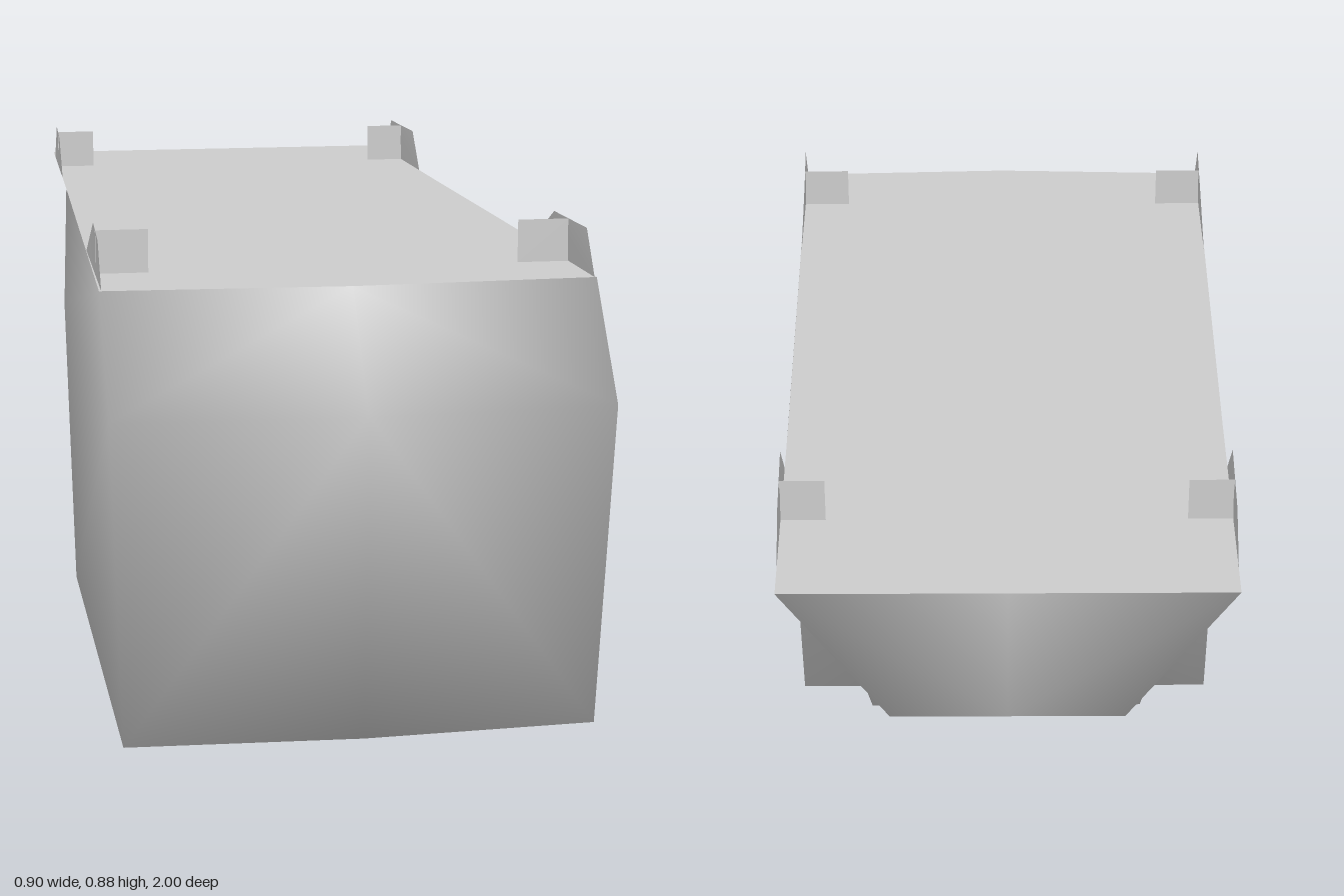
import * as THREE from 'three';

// Corner points of the +x half
const SIDE = [
  [0.45, 0.8, 0.82], [0.415, 0.8, -0.4], [0.4, 0.8, -1],        // 0-2 top rim
  [0.45, 0.6, 0.98], [0.445, 0.6, -0.1],                        // 3-4 widest line
  [0.43, 0, 0.95], [0.43, 0, -0.1], [0.26, 0.29, -0.21],        // 5-10 underside
  [0.26, 0.28, -0.58], [0.3, 0.47, -0.65], [0.21, 0.51, -0.95],
];
// Points on the centre line: front, then along the underside to the back rim
const CENTRE = [
  [0, 0.8, 0.84], [0, 0.6, 1], [0, 0, 0.97],                    // 11-13 front
  [0, 0, -0.1], [0, 0.29, -0.21], [0, 0.28, -0.58],             // 14-19 underside
  [0, 0.47, -0.65], [0, 0.51, -0.95], [0, 0.8, -1],
];
const POINTS = [...SIDE, ...CENTRE, ...SIDE.map(([x, y, z]) => [-x, y, z])];
const mirrorIndex = (i) => (i < 11 ? i + 20 : i);

// Fans each polygon into triangles and mirrors it to the other half
function symmetricGeometry(polygons) {
  const index = [];
  for (const p of polygons) {
    for (let i = 1; i < p.length - 1; i++) {
      const [a, b, c] = [p[0], p[i], p[i + 1]];
      index.push(a, b, c, mirrorIndex(a), mirrorIndex(c), mirrorIndex(b));
    }
  }
  const geometry = new THREE.BufferGeometry();
  geometry.setAttribute('position', new THREE.Float32BufferAttribute(POINTS.flat(), 3));
  geometry.setIndex(index);
  geometry.computeVertexNormals();
  return geometry;
}

// Flat plate from a planar outline
function plateGeometry(corners) {
  const geometry = new THREE.BufferGeometry();
  geometry.setAttribute('position', new THREE.Float32BufferAttribute(corners.flat(), 3));
  geometry.setIndex([0, 1, 2, 0, 2, 3]);
  geometry.computeVertexNormals();
  return geometry;
}

export function createModel() {
  const model = new THREE.Group();
  model.name = 'steppedBlock';
  const grey = new THREE.MeshStandardMaterial({ color: 0xcccccc, side: THREE.DoubleSide });
  grey.name = 'lightGrey';

  const add = (parent, name, geometry) => {
    const mesh = new THREE.Mesh(geometry, grey);
    mesh.name = name;
    parent.add(mesh);
  };

  // Smooth hull: front, sides and stepped underside
  const hull = [
    [11, 12, 3, 0], [12, 13, 5, 3],
    [0, 3, 4, 1], [3, 5, 6, 4], [4, 6, 7], [4, 7, 1],
    [1, 7, 8], [1, 8, 9], [1, 9, 10], [1, 10, 2],
  ];
  const edge = [5, 6, 7, 8, 9, 10, 2];
  for (let i = 0; i < 6; i++) hull.push([13 + i, 14 + i, edge[i + 1], edge[i]]);
  add(model, 'hull', symmetricGeometry(hull));

  // Flat deck
  add(model, 'deck', symmetricGeometry([[11, 0, 1, 2, 19]]));

  // Corner lugs: an outer side plate braced by a small cross plate
  const lugs = [
    { name: 'frontLug', x: [0.446, 0.437], z: [0.82, 0.76, 0.56, 0.4], brace: 0.65, inner: 0.345 },
    { name: 'rearLug', x: [0.411, 0.402], z: [-0.56, -0.64, -0.85, -0.92], brace: -0.75, inner: 0.325 },
  ];
  for (const { name, x, z, brace, inner } of lugs) {
    for (const s of [1, -1]) {
      const lug = new THREE.Group();
      lug.name = (s > 0 ? 'left ' : 'right ') + name;
      const [x0, x1] = x;
      add(lug, 'sidePlate', plateGeometry([
        [s * x0, 0.8, z[0]], [s * x0, 0.88, z[1]], [s * x1, 0.88, z[2]], [s * x1, 0.8, z[3]],
      ]));
      const outer = (x0 + x1) / 2;
      add(lug, 'crossPlate', plateGeometry([
        [s * inner, 0.8, brace], [s * outer, 0.8, brace], [s * outer, 0.88, brace], [s * inner, 0.88, brace],
      ]));
      model.add(lug);
    }
  }
  return model;
}
